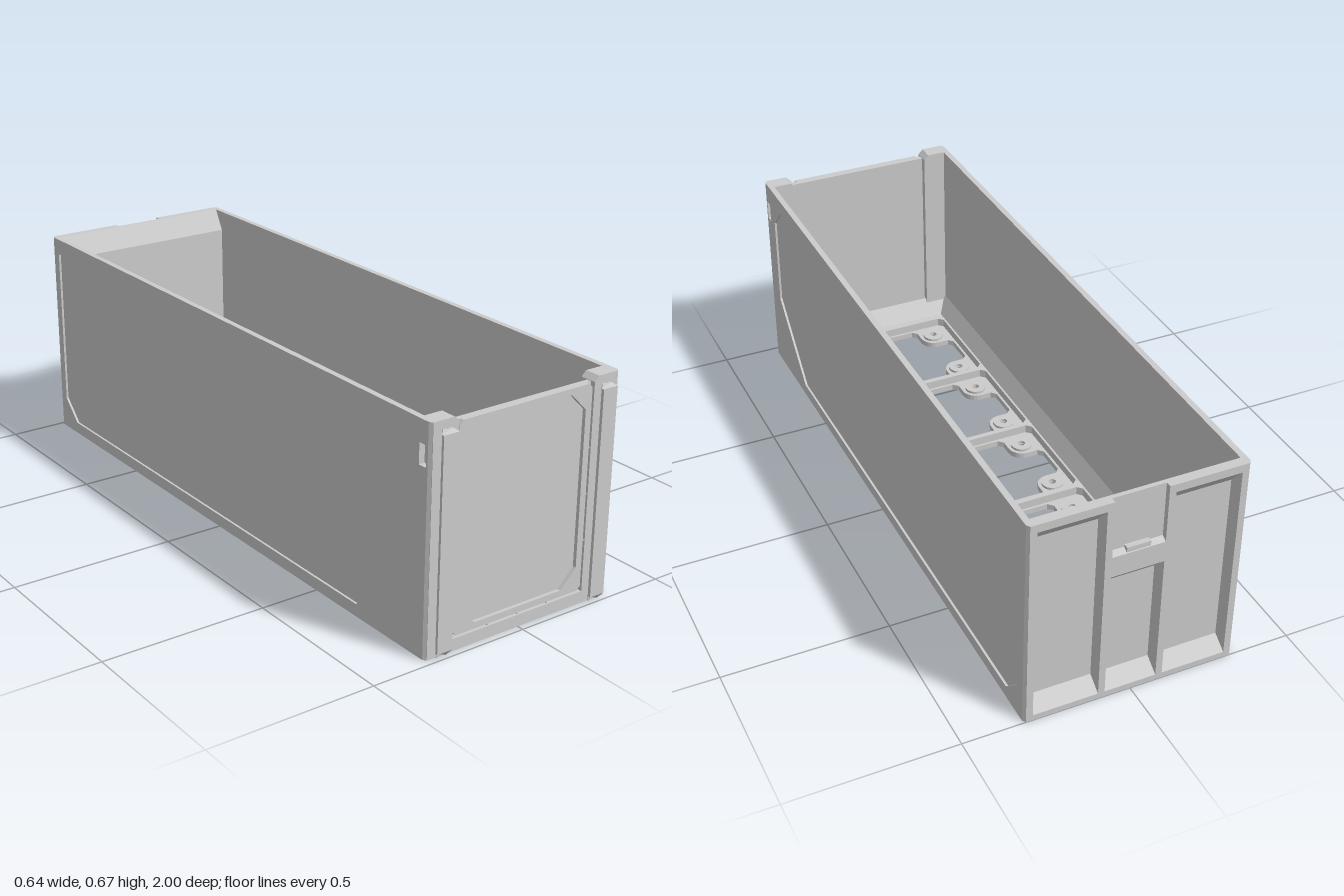
import * as THREE from 'three';

const mat = new THREE.MeshStandardMaterial({ color: 0xcccccc, flatShading: true, side: THREE.DoubleSide });
const H = 0.665, W = 0.32, INNER = 0.302, FRONT = 0.98;

const poly = (pts, C = THREE.Shape) => new C(pts.map(p => new THREE.Vector2(p[0], p[1])));
const rect = (x0, y0, x1, y1) => [[x0, y0], [x1, y0], [x1, y1], [x0, y1]];

// Rectangle with all corners cut at 45 degrees
const cutRect = (x0, y0, x1, y1, c) => [
  [x0 + c, y0], [x1 - c, y0], [x1, y0 + c], [x1, y1 - c],
  [x1 - c, y1], [x0 + c, y1], [x0, y1 - c], [x0, y0 + c]];

function extrude(pts, depth, holes = []) {
  const shape = poly(pts);
  shape.holes = holes.map(h => Array.isArray(h) ? poly(h, THREE.Path) : h);
  return new THREE.ExtrudeGeometry(shape, { depth, bevelEnabled: false, curveSegments: 10 });
}

// Outline in (x, y), from z0 to z1
const alongZ = (pts, z0, z1, holes) => extrude(pts, z1 - z0, holes).translate(0, 0, z0);
// Outline in (z, y), from x0 to x1
const alongX = (pts, x0, x1, holes) => extrude(pts, x1 - x0, holes).rotateY(-Math.PI / 2).translate(x1, 0, 0);
// Outline in (x, z), from y0 to y1
const alongY = (pts, y0, y1, holes) => extrude(pts, y1 - y0, holes).rotateX(Math.PI / 2).translate(0, y1, 0);

const circle = (x, y, r) => new THREE.Path().absarc(x, y, r, 0, Math.PI * 2);

// Cross-shaped floor opening whose inner corners curve around the screw bosses
function crossHole(cx, cz) {
  const pts = [], tip = 0.162, b = 0.111, r = 0.045;
  for (let q = 0; q < 4; q++) {
    const c = Math.round(Math.cos(q * Math.PI / 2)), s = Math.round(Math.sin(q * Math.PI / 2));
    const add = (x, y) => pts.push([cx + x * c - y * s, cz + x * s + y * c]);
    add(tip, -0.05);
    add(tip, 0.05);
    add(tip - 0.015, b - r);
    for (let i = 0; i <= 6; i++) {
      const a = -Math.PI / 2 - i / 6 * Math.PI / 2;
      add(b + r * Math.cos(a), b + r * Math.sin(a));
    }
    add(b - r, tip - 0.015);
  }
  return pts;
}

export function createModel() {
  const model = new THREE.Group();
  const add = (name, geo) => {
    const mesh = new THREE.Mesh(geo, mat);
    mesh.name = name;
    model.add(mesh);
    return mesh;
  };

  // Floor plate with five openings and screw holes
  const cx = -0.093, cells = [-0.73, -0.37, -0.01, 0.347, 0.705];
  const screws = cells.flatMap(z => [-1, 1].flatMap(i => [-1, 1].map(j => [cx + i * 0.111, z + j * 0.111])));
  add('floor', alongY(rect(-INNER, -0.94, INNER, 0.94), 0, 0.018,
    [...cells.map(z => crossHole(cx, z)), ...screws.map(([x, z]) => circle(x, z, 0.01))]));
  for (const [x, z] of screws) {
    const ring = new THREE.Shape().absarc(x, z, 0.034, 0, Math.PI * 2);
    ring.holes = [circle(x, z, 0.012)];
    add('screwBoss', new THREE.ExtrudeGeometry(ring, { depth: 0.008, bevelEnabled: false, curveSegments: 10 })
      .rotateX(Math.PI / 2).translate(0, 0.026, 0));
  }

  // Raised grid: five square bays and a long side channel
  add('floorGrid', alongY(rect(-INNER, -0.94, INNER, 0.94), 0.018, 0.045, [
    ...cells.map(z => cutRect(cx - 0.17, z - 0.17, cx + 0.17, z + 0.17, 0.015)),
    cutRect(0.092, -0.9, 0.265, 0.875, 0.015)]));
  for (let i = 0; i < 4; i++) {
    const z = (cells[i] + cells[i + 1]) / 2;
    add('channelStub', alongY(cutRect(0.085, z - 0.018, 0.115, z + 0.018, 0.008), 0.018, 0.045));
    add('channelStub', alongY(cutRect(0.25, z - 0.018, 0.275, z + 0.018, 0.008), 0.018, 0.045));
  }

  // Steep sloped fillets around the inside of the floor
  const wedge = (a, b) => [[a, 0.04], [b, 0.04], [b, 0.045], [a, 0.1]];
  add('backFillet', alongX(wedge(-0.94, -0.91), -INNER, INNER));
  add('frontFillet', alongX(wedge(0.94, 0.9), -INNER, INNER));

  for (const s of [-1, 1]) {
    const span = (a, b) => s > 0 ? [a, b] : [-b, -a];
    add('sideFillet', alongZ(wedge(s * 0.303, s * 0.27), -0.935, 0.93));

    // Side wall: thin plate plus a frame around the recessed panel
    const slot = rect(0.936, 0.54, 0.963, 0.6);
    const outline = rect(-1, 0, FRONT, H);
    const panel = [[0.9, 0.55], [0.835, 0.615], [-0.96, 0.615], [-0.96, 0.105],
      [-0.89, 0.037], [0.685, 0.037], [0.9, 0.26]];
    add('sideWall', alongX(outline, ...span(INNER, 0.313), [slot]));
    const frame = alongX(outline, ...span(0.312, W), [panel, slot]);
    // Bevel the vertical outer corners
    const p = frame.attributes.position;
    for (let i = 0; i < p.count; i++) {
      if (Math.abs(p.getX(i)) < 0.316) continue;
      if (p.getZ(i) > 0.979) p.setZ(i, 0.97);
      if (p.getZ(i) < -0.999) p.setZ(i, -0.99);
    }
    frame.computeVertexNormals();
    add('sideFrame', frame);

    // Front pillar, with its inner top corner cut
    add('frontPillar', alongZ([[s * 0.23, 0], [s * INNER, 0], [s * INNER, H], [s * 0.245, H], [s * 0.23, 0.65]], 0.93, FRONT));

    // Dovetail rail on the pillar, tapered at both ends
    const x = s * 0.27;
    const rail = alongY([[x - 0.012, 0.975], [x + 0.012, 0.975], [x + 0.016, 0.985],
      [x + 0.025, 0.992], [x + 0.025, 1], [x - 0.025, 1], [x - 0.025, 0.992], [x - 0.016, 0.985]], 0, 0.64);
    const q = rail.attributes.position;
    for (let i = 0; i < q.count; i++) {
      if (q.getZ(i) < 0.99) continue;
      q.setY(i, q.getY(i) < 0.1 ? 0.02 : 0.632);
    }
    rail.computeVertexNormals();
    add('frontRail', rail);
  }

  // Front sill and inset panel with an eight-sided recess
  add('frontSill', alongX(rect(0.93, 0, FRONT, 0.036), -0.23, 0.23));
  add('frontPanel', alongZ(rect(-0.23, 0.036, 0.23, 0.648), 0.95, 0.966));
  add('frontPanelFrame', alongZ(cutRect(-0.226, 0.041, 0.226, 0.648, 0.012), 0.965, 0.977,
    [cutRect(-0.206, 0.06, 0.206, 0.63, 0.053)]));
  for (const s of [-1, 1]) {
    for (const y of [0.19, 0.327, 0.463])
      add('panelTab', new THREE.BoxGeometry(0.006, 0.004, 0.012).translate(s * 0.228, y, 0.97));
  }
  for (const x of [-0.105, 0, 0.105])
    add('panelTab', new THREE.BoxGeometry(0.004, 0.007, 0.012).translate(x, 0.038, 0.97));

  // Back wall in vertical strips: solid ribs between sloped-end pockets
  const inside = [[-0.97, H], [-0.935, 0.6], [-0.935, 0]];
  const solid = [[-1, 0], [-1, H], ...inside];
  const pocket = [[-1, 0], [-1, 0.018], [-0.953, 0.05], [-0.953, 0.585], [-1, 0.64], [-1, H], ...inside];
  const centre = [[-1, 0], [-1, 0.018], [-0.953, 0.05], [-0.953, 0.37], [-1, 0.42],
    [-1, 0.485], [-0.983, 0.495], [-0.983, H], ...inside];
  const strips = [[-INNER, -0.293, solid], [-0.293, -0.098, pocket], [-0.098, -0.078, solid],
    [-0.078, 0.078, centre], [0.078, 0.098, solid], [0.098, 0.293, pocket], [0.293, INNER, solid]];
  for (const [x0, x1, profile] of strips) {
    add(profile === solid ? 'backRib' : 'backPocket', alongX(profile, x0, x1));
  }

  // Small catch at the foot of the rear slot
  add('rearCatch', new THREE.BoxGeometry(0.07, 0.015, 0.016).translate(0, 0.495, -0.991));

  return model;
}
